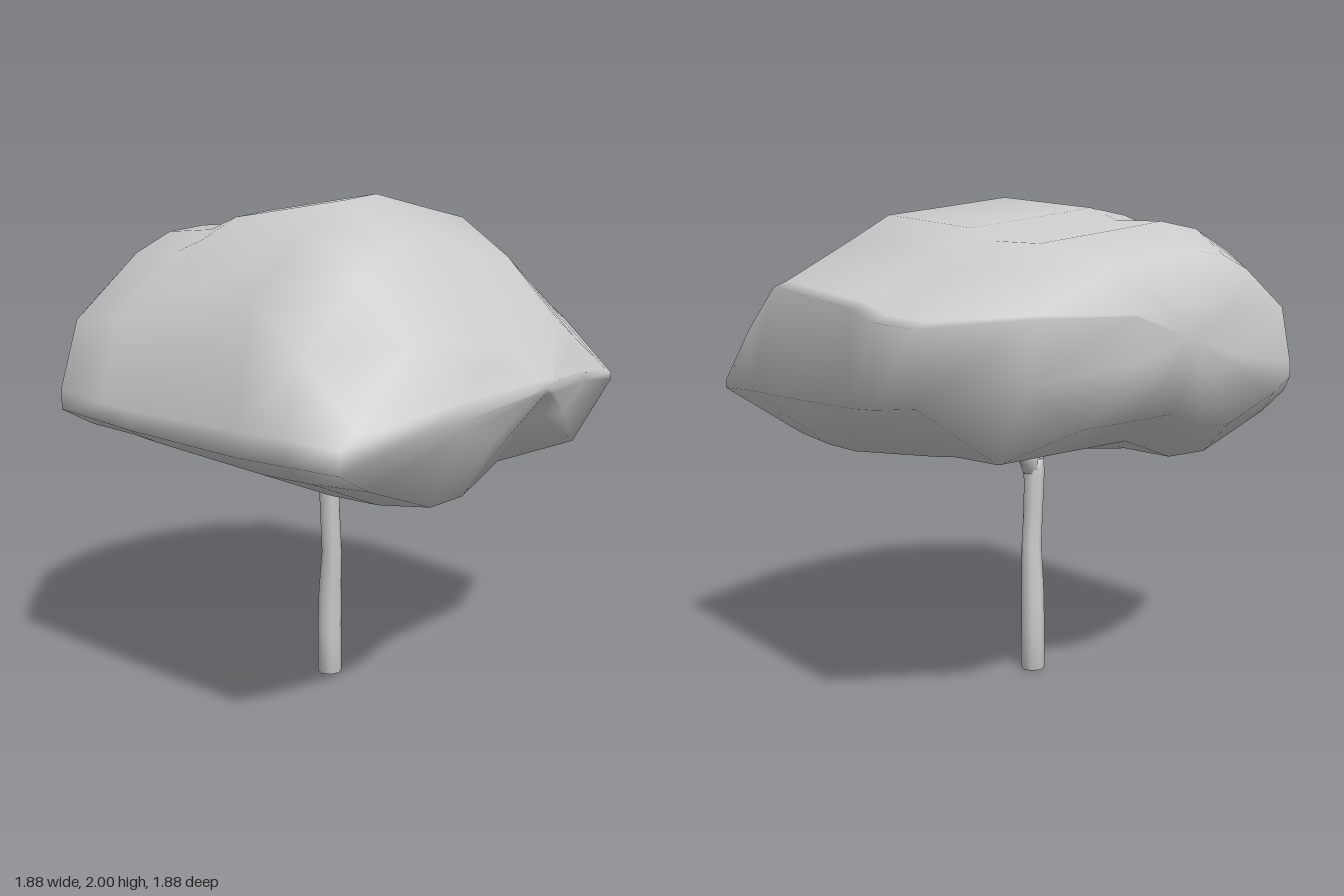
import * as THREE from 'three';

const grey = new THREE.MeshStandardMaterial({ color: 0xcccccc });

// Smooth skin over equal-length rings of points, closed at both ends
function loft(rings, name) {
  const n = rings[0].length, pos = [], idx = [];
  rings.forEach(r => r.forEach(p => pos.push(...p)));
  for (let i = 0; i < rings.length - 1; i++) {
    for (let j = 0; j < n; j++) {
      const a = i * n + j, b = i * n + (j + 1) % n;
      idx.push(a, b, a + n, b, b + n, a + n);
    }
  }
  [0, rings.length - 1].forEach((ri, end) => {
    const c = pos.length / 3;
    pos.push(...[0, 1, 2].map(k => rings[ri].reduce((s, p) => s + p[k] / n, 0)));
    for (let j = 0; j < n; j++) {
      const a = ri * n + j, b = ri * n + (j + 1) % n;
      end ? idx.push(c, a, b) : idx.push(c, b, a);
    }
  });
  const g = new THREE.BufferGeometry();
  g.setAttribute('position', new THREE.Float32BufferAttribute(pos, 3));
  g.setIndex(idx);
  g.computeVertexNormals();
  const mesh = new THREE.Mesh(g, grey);
  mesh.name = name;
  return mesh;
}

// Limb through [x, y, z, radius] stations, rising upwards
function limb(stations, name, sides = 8) {
  return loft(stations.map(([x, y, z, r]) =>
    Array.from({ length: sides }, (_, k) => {
      const a = (k / sides) * Math.PI * 2;
      return [x + r * Math.cos(a), y, z - r * Math.sin(a)];
    })), name);
}

// Crown outline across x: [x, share of the rise from edge to crest]
const upper = [[0.935, 0], [0.88, 0.06], [0.6, 0.48], [0.42, 0.76], [0.12, 0.88], [-0.17, 1],
  [-0.36, 0.93], [-0.54, 0.7], [-0.85, 0]];
// The same for the underside: share of the drop from edge to lowest point
const lower = [[-0.94, 0.03], [-0.94, 0.3], [-0.8, 0.56], [-0.44, 1], [-0.24, 1], [0, 0.7],
  [0.3, 0.73], [0.6, 0.76], [0.935, 0]];

// Crown sections, back to front: z, width, crest, upper edge, lower edge, lowest point
const sections = [
  [-0.94, 0.28, 1.6, 1.56, 1.4, 1.35],
  [-0.87, 0.71, 1.77, 1.56, 1.35, 1.14],
  [-0.64, 1, 1.88, 1.53, 1.28, 0.99],
  [-0.4, 1, 1.89, 1.54, 1.25, 0.99],
  [-0.26, 1, 1.94, 1.58, 1.24, 0.97],
  [0.28, 1, 2, 1.64, 1.23, 0.9],
  [0.5, 1, 1.85, 1.47, 1.23, 0.9],
  [0.73, 1, 1.61, 1.25, 1.22, 0.93],
  [0.84, 0.5, 1.47, 1.31, 1.28, 1.14],
  [0.94, 0.1, 1.35, 1.34, 1.31, 1.29],
];

export function createModel() {
  const model = new THREE.Group();
  model.name = 'tree';

  // Leafy crown
  const rings = sections.map(([z, w, top, up, low, bottom]) => {
    const shift = w < 0.2 ? -0.03 : 0;
    return [
      ...upper.map(([x, t]) => [x * w + shift, up + (top - up) * t, z]),
      ...lower.map(([x, t]) => [x * w + shift, low + (bottom - low) * t, z]),
    ];
  });
  model.add(loft(rings, 'crown'));

  // Slightly bent trunk
  model.add(limb([
    [-0.07, 0, -0.033, 0.051], [-0.07, 0.2, -0.033, 0.05], [-0.07, 0.36, -0.03, 0.048],
    [-0.078, 0.54, -0.013, 0.042], [-0.085, 0.7, -0.016, 0.041], [-0.09, 0.8, -0.014, 0.043],
    [-0.092, 0.86, -0.012, 0.044], [-0.092, 0.91, -0.008, 0.044],
  ], 'trunk'));

  // Fork under the crown
  model.add(limb([
    [-0.085, 0.85, -0.01, 0.04], [-0.065, 0.92, -0.007, 0.045], [-0.04, 0.98, -0.006, 0.048],
    [-0.03, 1.03, -0.006, 0.046],
  ], 'mainBranch'));
  model.add(limb([
    [-0.1, 0.86, -0.01, 0.03], [-0.122, 0.92, -0.008, 0.024], [-0.145, 0.98, -0.006, 0.022],
  ], 'sideBranch'));

  return model;
}
